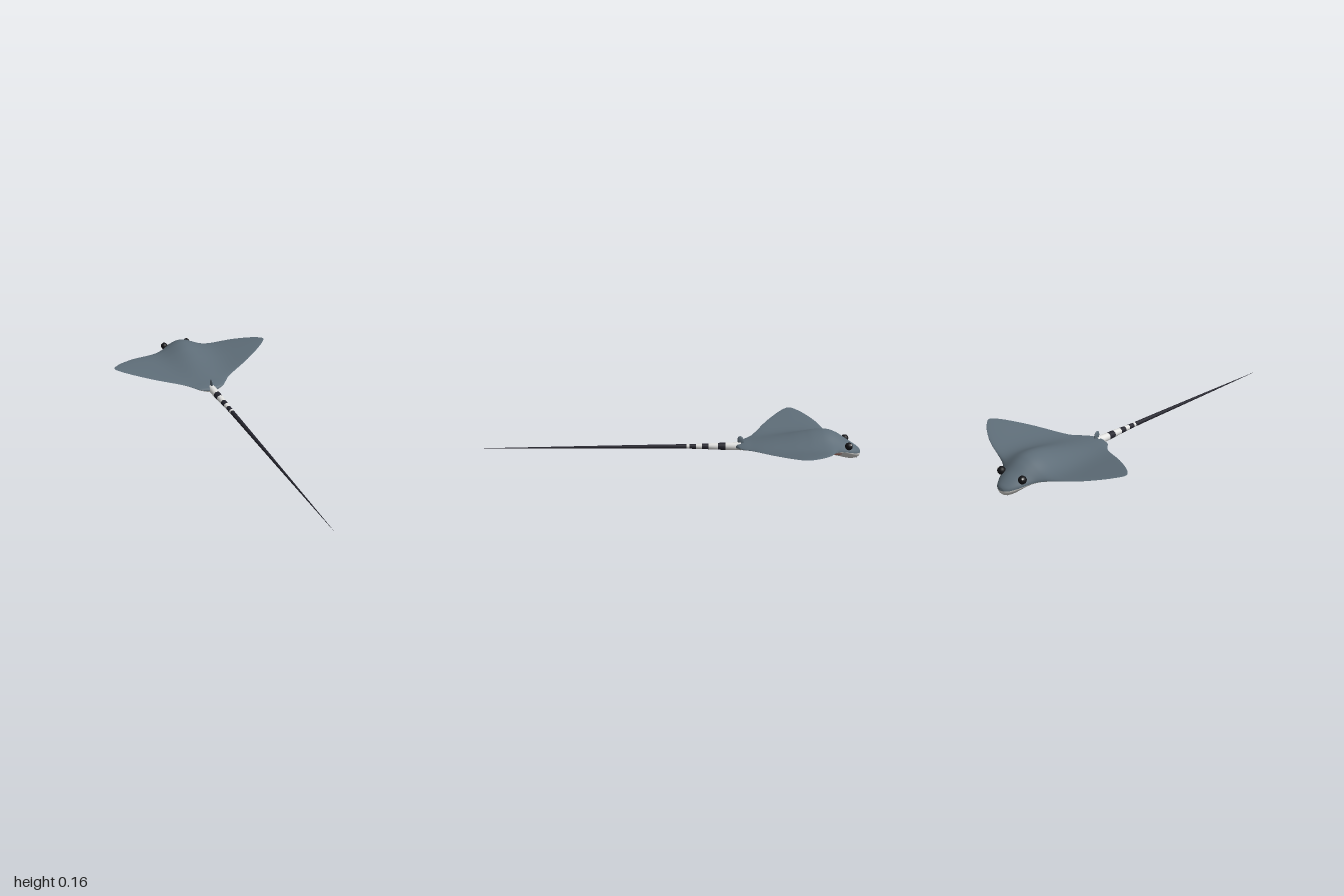
import * as THREE from 'three';
import { mergeVertices } from 'three/addons/utils/BufferGeometryUtils.js';

const mat = (name, color) => {
  const m = new THREE.MeshStandardMaterial({ color });
  m.name = name;
  return m;
};

// Body stations from snout to tail root: z, half width, top of spine, bottom of belly
const BODY = [
  [-1, 0, 0.035, 0.035], [-0.995, 0.022, 0.05, 0.019], [-0.98, 0.043, 0.064, 0.006],
  [-0.95, 0.066, 0.085, 0.0], [-0.92, 0.084, 0.104, 0.004], [-0.885, 0.11, 0.128, 0.012],
  [-0.86, 0.145, 0.141, 0.017], [-0.84, 0.192, 0.149, 0.02], [-0.815, 0.262, 0.154, 0.022],
  [-0.79, 0.32, 0.155, 0.025], [-0.74, 0.4, 0.15, 0.028], [-0.7, 0.446, 0.141, 0.031],
  [-0.67, 0.468, 0.134, 0.032], [-0.645, 0.459, 0.128, 0.033], [-0.6, 0.412, 0.117, 0.035],
  [-0.52, 0.295, 0.1, 0.038], [-0.435, 0.14, 0.084, 0.041], [-0.39, 0.094, 0.078, 0.042],
  [-0.365, 0.07, 0.073, 0.042], [-0.35, 0.035, 0.07, 0.042], [-0.34, 0.012, 0.062, 0.046]
];

// Smooth (Hermite) interpolation of column c at height z of a table
function sample(table, z, c) {
  let i = 0;
  while (i < table.length - 2 && z > table[i + 1][0]) i++;
  const slope = k => {
    const a = table[Math.max(k - 1, 0)], b = table[Math.min(k + 1, table.length - 1)];
    return (b[c] - a[c]) / (b[0] - a[0]);
  };
  const p = table[i], q = table[i + 1], h = q[0] - p[0], t = (z - p[0]) / h;
  const t2 = t * t, t3 = t2 * t;
  return p[c] * (2 * t3 - 3 * t2 + 1) + h * slope(i) * (t3 - 2 * t2 + t) +
    q[c] * (3 * t2 - 2 * t3) + h * slope(i + 1) * (t3 - t2);
}

// Height of the upper (side = 1) or lower (side = -1) skin
function skinY(x, z, side) {
  const w = Math.max(sample(BODY, z, 1), 1e-5);
  const u = Math.min(Math.abs(x) / w, 1);
  const mid = 0.055 - 0.02 * THREE.MathUtils.smoothstep(-z, 0.85, 1);
  const edge = mid + 0.21 * (Math.sqrt(x * x + 0.0036) - 0.06);
  const spread = side > 0 ? 0.12 : 0.085;
  const hump = 0.88 * Math.exp(-((x / spread) ** 2)) + 0.12;
  const depth = sample(BODY, z, side > 0 ? 2 : 3) - mid;
  return edge + depth * hump * Math.sqrt(1 - u * u);
}

// One skin of the disc, spanning snout to tail root and wing tip to wing tip
function skinGeometry(side) {
  const pos = [], idx = [], N = 48, SUB = 4, zs = [];
  for (let i = 0; i < BODY.length - 1; i++)
    for (let k = 0; k < SUB; k++) zs.push(THREE.MathUtils.lerp(BODY[i][0], BODY[i + 1][0], k / SUB));
  zs.push(BODY[BODY.length - 1][0]);
  zs.forEach((z, i) => {
    const w = Math.max(sample(BODY, z, 1), 0);
    for (let j = 0; j <= N; j++) {
      const x = w * Math.sin((j / N - 0.5) * Math.PI);
      pos.push(x, skinY(x, z, side), z);
      if (i && j) {
        const d = i * (N + 1) + j, b = d - 1, c = d - N - 1, a = c - 1;
        if (side > 0) idx.push(a, b, c, b, d, c);
        else idx.push(a, c, b, b, c, d);
      }
    }
  });
  const g = new THREE.BufferGeometry();
  g.setAttribute('position', new THREE.Float32BufferAttribute(pos, 3));
  g.setIndex(idx);
  const m = mergeVertices(g, 1e-5);
  m.computeVertexNormals();
  return m;
}

// Oval patch laid just below the lower skin
function bellyPatch(cx, cz, rx, rz) {
  const g = new THREE.RingGeometry(0.001, 1, 28, 6), p = g.attributes.position;
  for (let i = 0; i < p.count; i++) {
    const x = cx + rx * p.getX(i), z = cz + rz * p.getY(i);
    p.setXYZ(i, x, skinY(x, z, -1) - 0.0025, z);
  }
  g.computeVertexNormals();
  return g;
}

// Tail radius along z
const TAIL = [[-0.37, 0.022], [-0.28, 0.0195], [-0.2, 0.016], [-0.1, 0.0125],
  [0.1, 0.0105], [0.4, 0.0075], [0.7, 0.004], [1, 0.0004]];
const tailY = z => 0.057 - 0.021 * (z + 0.37) / 1.37 - 0.006 * Math.max(z, 0);

function tailPiece(z0, z1) {
  const steps = Math.max(1, Math.ceil((z1 - z0) / 0.1));
  const g = new THREE.CylinderGeometry(1, 1, z1 - z0, 14, steps, true);
  g.rotateX(Math.PI / 2).translate(0, 0, (z0 + z1) / 2);
  const p = g.attributes.position;
  for (let i = 0; i < p.count; i++) {
    const z = p.getZ(i), r = sample(TAIL, z, 1);
    p.setXYZ(i, p.getX(i) * r, p.getY(i) * r + tailY(z), z);
  }
  g.computeVertexNormals();
  return g;
}

export function createModel() {
  const slate = mat('slateBack', 0x5e6d78);
  const pale = mat('paleBelly', 0xd6d6d3);
  const white = mat('whiteBand', 0xe4e4e2);
  const dark = mat('darkTail', 0x25252e);
  const black = mat('eyeBlack', 0x121215);
  const gill = mat('gillPink', 0xc48578);

  const root = new THREE.Group();
  root.name = 'ray';
  const add = (name, geo, material) => {
    const m = new THREE.Mesh(geo, material);
    m.name = name;
    root.add(m);
    return m;
  };

  add('upperBody', skinGeometry(1), slate);
  add('lowerBody', skinGeometry(-1), pale);

  // Eyes with a small glint, and gill patches, mirrored
  for (const s of [-1, 1]) {
    const side = s > 0 ? 'left' : 'right';
    const ex = s * 0.072, ey = 0.085, ez = -0.926;
    add(side + 'Eye', new THREE.SphereGeometry(0.02, 20, 14), black).position.set(ex, ey, ez);
    add(side + 'EyeGlint', new THREE.SphereGeometry(0.005, 10, 8), white)
      .position.set(ex + s * 0.0125, ey + 0.011, ez - 0.009);
    add(side + 'GillPatch', bellyPatch(s * 0.085, -0.815, 0.042, 0.075), gill);
  }
  add('mouth', bellyPatch(0, -0.978, 0.026, 0.006), black);

  // Small dorsal fin at the tail root
  const fin = add('dorsalFin', new THREE.SphereGeometry(1, 16, 12), slate);
  fin.scale.set(0.006, 0.026, 0.017);
  fin.position.set(0, 0.087, -0.37);
  fin.rotation.x = 0.25;

  // Banded tail root followed by the long dark whip
  const bands = [-0.37, -0.29, -0.25, -0.2, -0.165, -0.135, -0.1, -0.085, 1];
  for (let i = 0; i < bands.length - 1; i++)
    add(i === bands.length - 2 ? 'tailWhip' : 'tailBand' + (i + 1),
      tailPiece(bands[i], bands[i + 1]), i % 2 ? dark : white);

  return root;
}
